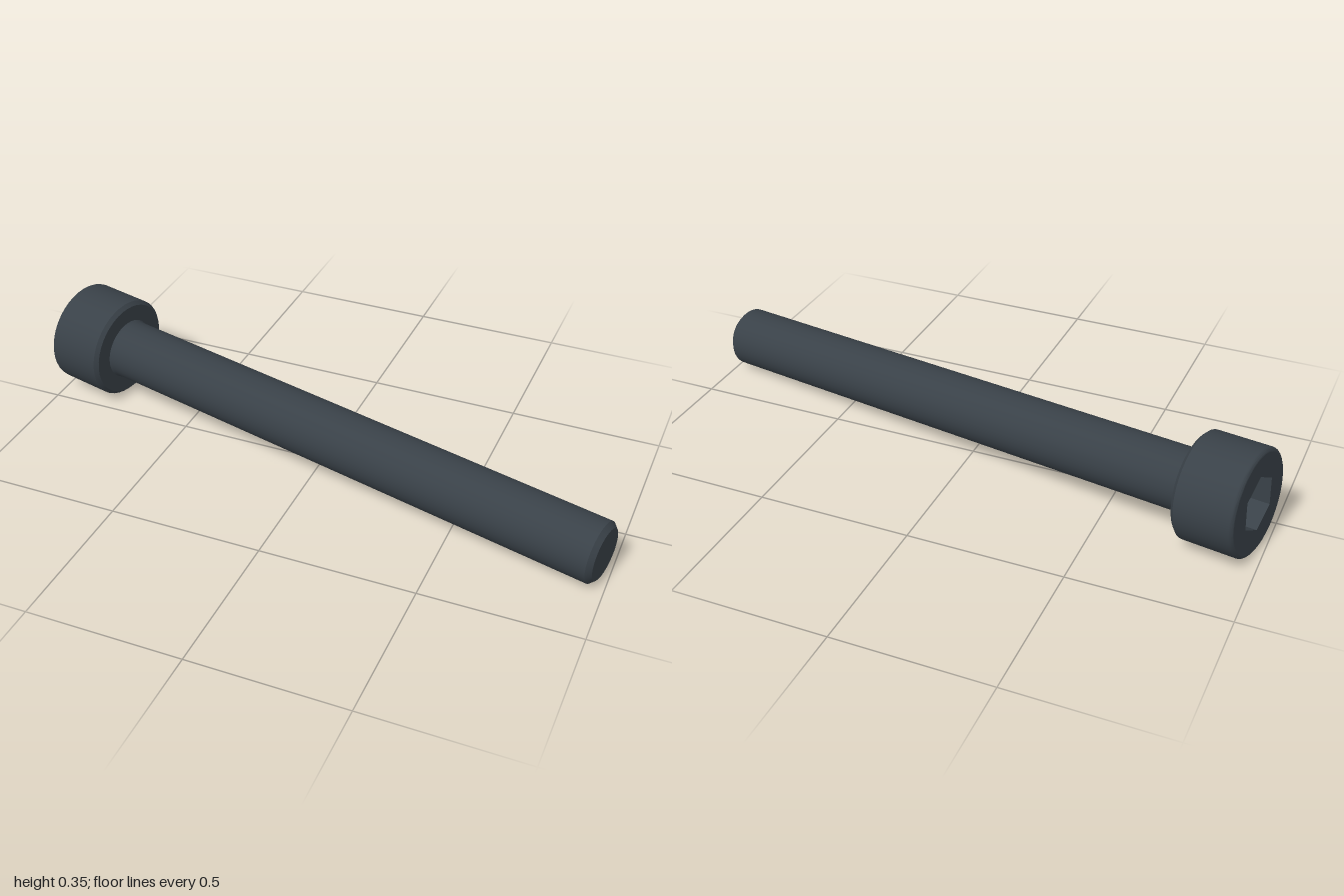
import * as THREE from 'three';
import { toCreasedNormals } from 'three/addons/utils/BufferGeometryUtils.js';

const SEGMENTS = 40;
const HEAD_R = 0.17, HEAD_LEN = 0.2, SHAFT_R = 0.099;
const HEX_R = 0.092, SOCKET_DEPTH = 0.1, ROUND = 0.012;

export function createModel() {
  const steel = new THREE.MeshStandardMaterial({ color: 0x394148 });
  steel.name = 'blackened steel';

  // The bolt is built along +y, head end at y = 0, then laid down.
  const rear = new THREE.Vector3(-0.97, 0.178, -0.174);
  const tip = new THREE.Vector3(0.982, 0.1, 0.24);
  const length = rear.distanceTo(tip);

  const bolt = new THREE.Group();
  bolt.name = 'bolt';
  const add = (name, geometry) => {
    const mesh = new THREE.Mesh(geometry, steel);
    mesh.name = name;
    bolt.add(mesh);
  };
  const lathe = (points) => toCreasedNormals(
    new THREE.LatheGeometry(points.map(([r, y]) => new THREE.Vector2(r, y)), SEGMENTS), 0.5);

  // Head: rounded rear rim, straight side, chamfered front rim
  const rim = [];
  for (let i = 0; i <= 4; i++) {
    const a = (i / 4) * Math.PI / 2;
    rim.push([HEAD_R - ROUND + ROUND * Math.sin(a), ROUND - ROUND * Math.cos(a)]);
  }
  add('headSide', lathe([
    ...rim,
    [HEAD_R, HEAD_LEN - 0.012],
    [HEAD_R - 0.012, HEAD_LEN],
    [SHAFT_R + 0.004, HEAD_LEN],
  ]));

  // Rear face with hexagonal opening
  const face = new THREE.Shape().absarc(0, 0, HEAD_R - ROUND, 0, Math.PI * 2);
  const corners = [];
  for (let i = 0; i < 6; i++) {
    const a = Math.PI / 2 + i * Math.PI / 3;
    corners.push(new THREE.Vector2(HEX_R * Math.cos(a), HEX_R * Math.sin(a)));
  }
  face.holes.push(new THREE.Path(corners));
  add('headFace', new THREE.ShapeGeometry(face, SEGMENTS).rotateX(Math.PI / 2));

  // Hex socket: walls turned inward, and floor
  const walls = new THREE.CylinderGeometry(HEX_R, HEX_R, SOCKET_DEPTH, 6, 1, true);
  walls.scale(-1, 1, 1).translate(0, SOCKET_DEPTH / 2, 0);
  add('socketWalls', toCreasedNormals(walls, 0.5));
  add('socketFloor', new THREE.CircleGeometry(HEX_R, 6, Math.PI / 2)
    .rotateX(Math.PI / 2).translate(0, SOCKET_DEPTH, 0));

  // Shaft: small fillet under the head, chamfered tip
  add('shaft', lathe([
    [SHAFT_R + 0.004, HEAD_LEN],
    [SHAFT_R, HEAD_LEN + 0.01],
    [SHAFT_R, length - 0.016],
    [SHAFT_R - 0.016, length],
    [0, length],
  ]));

  // Lay the bolt from rear to tip, socket corners up and down
  const axis = tip.clone().sub(rear).normalize();
  const up = new THREE.Vector3(0, 1, 0).addScaledVector(axis, -axis.y).normalize();
  const side = new THREE.Vector3().crossVectors(axis, up);
  bolt.quaternion.setFromRotationMatrix(new THREE.Matrix4().makeBasis(side, axis, up));
  bolt.position.copy(rear);

  const model = new THREE.Group();
  model.name = 'socketHeadBolt';
  model.add(bolt);
  return model;
}
